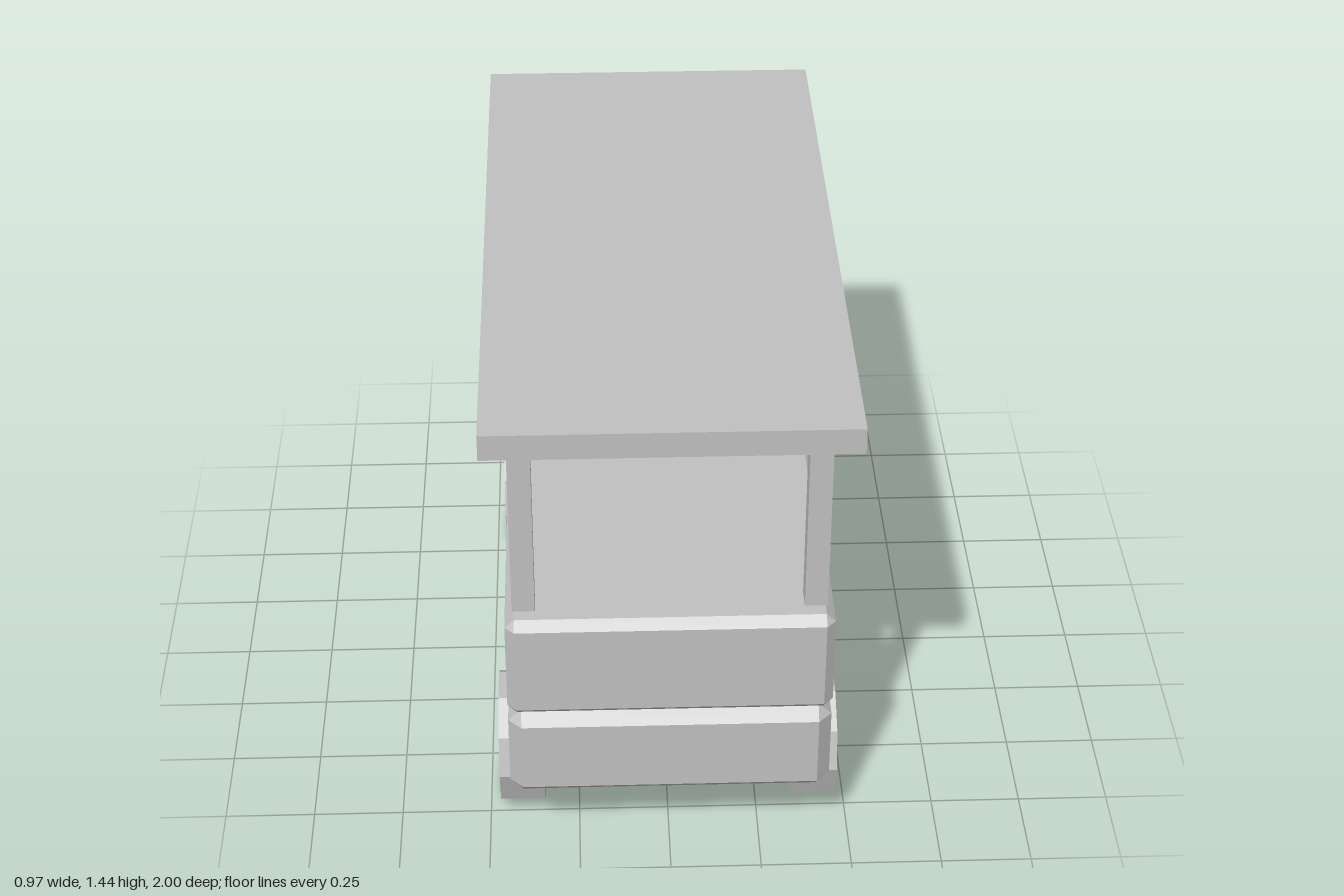
import * as THREE from 'three';
import { ConvexGeometry } from 'three/addons/geometries/ConvexGeometry.js';

// Box centred on the origin with every edge chamfered by c
function chamferBox(w, h, d, c) {
  const points = [];
  for (const sx of [-1, 1]) for (const sy of [-1, 1]) for (const sz of [-1, 1]) {
    const x = w / 2, y = h / 2, z = d / 2;
    points.push(
      new THREE.Vector3(sx * x, sy * (y - c), sz * (z - c)),
      new THREE.Vector3(sx * (x - c), sy * y, sz * (z - c)),
      new THREE.Vector3(sx * (x - c), sy * (y - c), sz * z)
    );
  }
  return new ConvexGeometry(points);
}

export function createModel() {
  const model = new THREE.Group();
  model.name = 'canopyCart';
  const grey = new THREE.MeshStandardMaterial({ color: 0xc0c0c0, flatShading: true });
  grey.name = 'grey';

  const add = (name, geometry, x, y, z) => {
    const mesh = new THREE.Mesh(geometry, grey);
    mesh.name = name;
    mesh.position.set(x, y, z);
    model.add(mesh);
  };

  // Two stacked chamfered body blocks
  add('lowerBody', chamferBox(0.874, 0.28, 1.88, 0.036), 0, 0.354, 0);
  add('upperBody', chamferBox(0.874, 0.31, 1.88, 0.025), 0, 0.65, 0);

  // Flat canopy
  add('roof', new THREE.BoxGeometry(0.968, 0.073, 2), 0, 1.407, 0);

  // Posts and ten-sided wheels at the four corners
  const post = new THREE.BoxGeometry(0.061, 0.566, 0.061);
  const wheel = new THREE.CylinderGeometry(0.187, 0.187, 0.124, 10).rotateZ(Math.PI / 2);
  for (const [side, sx] of [['Left', 1], ['Right', -1]]) {
    for (const [end, sz] of [['front', 1], ['back', -1]]) {
      add(`${end}${side}Post`, post, sx * 0.387, 1.088, sz * 0.847);
      add(`${end}${side}Wheel`, wheel, sx * 0.408, 0.178, sz * 0.626);
    }
  }
  return model;
}
